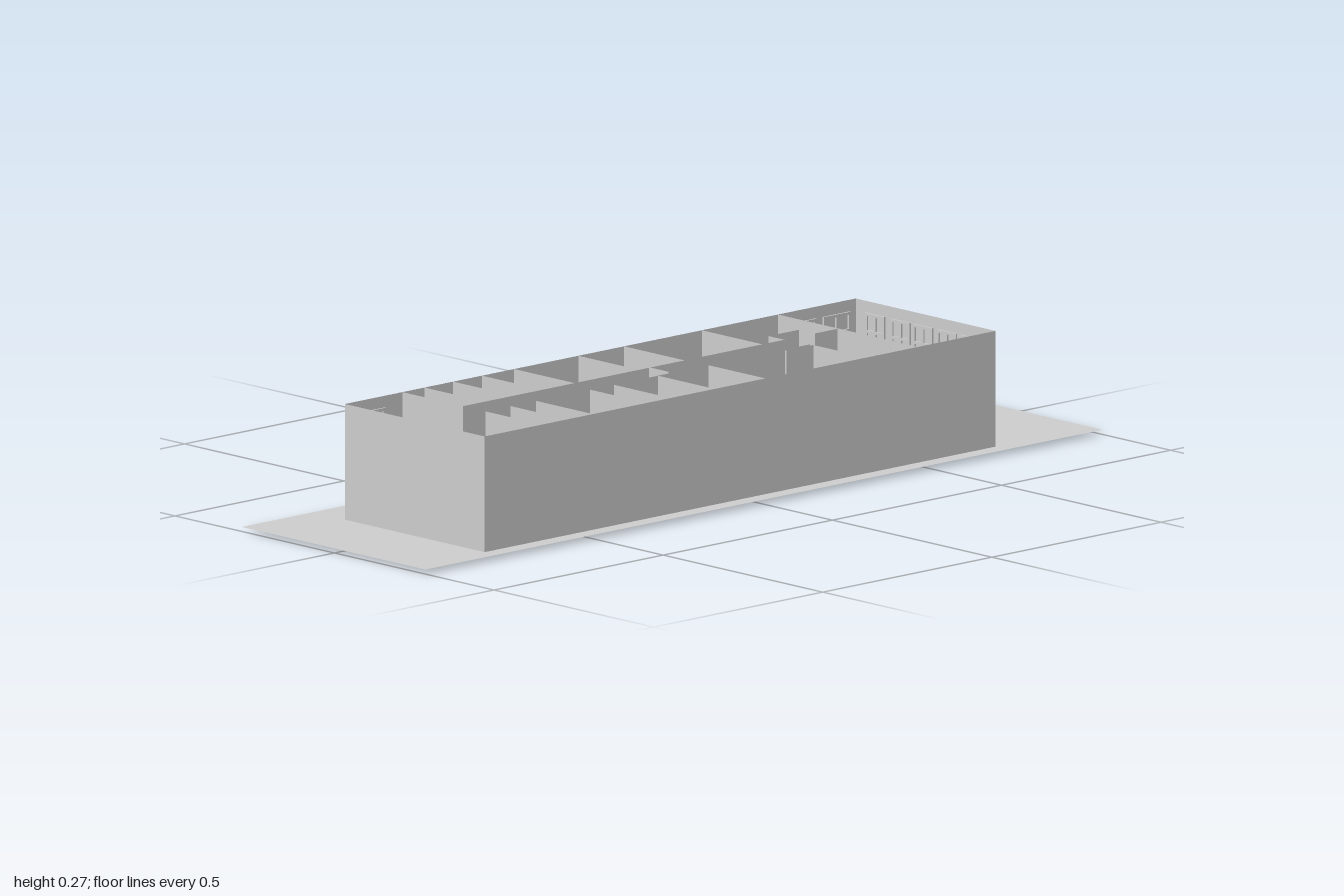
import * as THREE from 'three';

const FLOOR = 0.01, TOP = 0.265;

export function createModel() {
  const model = new THREE.Group();
  const mat = new THREE.MeshStandardMaterial({ color: 0xcccccc, flatShading: true, side: THREE.DoubleSide });

  // upright thin panel between two plan points
  function wall(name, x1, z1, x2, z2, y0 = FLOOR, y1 = TOP, parent = model) {
    const len = Math.hypot(x2 - x1, z2 - z1);
    const m = new THREE.Mesh(new THREE.PlaneGeometry(len, y1 - y0), mat);
    m.position.set((x1 + x2) / 2, (y0 + y1) / 2, (z1 + z2) / 2);
    m.rotation.y = -Math.atan2(z2 - z1, x2 - x1);
    m.name = name;
    parent.add(m);
  }

  // window frame with two panes across and a transom
  function windowFrame(cx, cz, width, alongZ) {
    const y0 = 0.11, y1 = 0.24, bar = 0.006, w = width / 2, mid = 0.2;
    const s = new THREE.Shape();
    s.moveTo(-w, y0); s.lineTo(w, y0); s.lineTo(w, y1); s.lineTo(-w, y1); s.closePath();
    for (const [a, b] of [[-w + bar, -bar / 2], [bar / 2, w - bar]]) {
      for (const [c, d] of [[y0 + bar, mid - bar / 2], [mid + bar / 2, y1 - bar]]) {
        const h = new THREE.Path();
        h.moveTo(a, c); h.lineTo(a, d); h.lineTo(b, d); h.lineTo(b, c); h.closePath();
        s.holes.push(h);
      }
    }
    const geo = new THREE.ExtrudeGeometry(s, { depth: 0.004, bevelEnabled: false });
    geo.translate(0, 0, -0.002);
    const m = new THREE.Mesh(geo, mat);
    m.position.set(cx, 0, cz);
    if (alongZ) m.rotation.y = Math.PI / 2;
    m.name = 'windowFrame';
    model.add(m);
  }

  // ground sheet
  const ground = new THREE.Mesh(new THREE.PlaneGeometry(2, 0.575), mat);
  ground.rotation.x = -Math.PI / 2;
  ground.position.set(0, FLOOR, -0.0025);
  ground.name = 'ground';
  model.add(ground);

  // outer walls, open at the top
  const L = -0.79, R = 0.72, B = -0.19, F = 0.248;
  wall('frontWall', L, F, R, F);
  wall('backWall', L, B, R, B);
  wall('rightEndWall', L, B, L, F);
  wall('leftEndWall', R, B, R, F);

  // corridor walls
  const cb = 0, cf = 0.07;
  wall('corridorBackWall', -0.62, cb, 0.33, cb);
  wall('corridorFrontWall', -0.62, cf, 0.34, cf);

  // room dividers on both sides of the corridor
  for (const x of [-0.62, -0.555, -0.47, -0.385, -0.29, -0.1, 0.035, 0.265]) wall('backPartition', x, B, x, cb);
  for (const x of [-0.62, -0.545, -0.47, -0.31, -0.24, -0.11, 0.04, 0.34]) wall('frontPartition', x, cf, x, F);
  wall('crossWall', 0.49, B, 0.49, F);

  // small closet at the end of the corridor
  wall('closetSide', 0.33, cb, 0.33, -0.05);
  wall('closetBack', 0.33, -0.05, 0.42, -0.05);
  wall('closetSide', 0.42, -0.05, 0.42, cb);
  wall('closetFront', 0.42, cb, 0.49, cb);

  // screens set slightly into the ground
  const screens = [
    [-0.47, 0.064, -0.32, 0.064], [-0.07, 0, -0.07, 0.06],
    [0.04, 0.076, 0.26, 0.076], [0.487, -0.003, 0.487, 0.11],
  ];
  for (const [x1, z1, x2, z2] of screens) wall('screen', x1, z1, x2, z2, 0, TOP + 0.001);
  // thick stub at the end of the long screen
  wall('stubWall', 0.26, 0.08, 0.34, 0.08);
  wall('stubEnd', 0.26, 0.07, 0.26, 0.08);

  // windows on the inner faces of the outer walls
  for (const x of [-0.73, -0.195, 0.095, 0.185, 0.385, 0.455]) windowFrame(x, F - 0.005, x < 0.3 ? 0.07 : 0.05, false);
  for (const [x, w] of [[-0.705, 0.06], [0.56, 0.08], [0.66, 0.08]]) windowFrame(x, B + 0.004, w, false);
  for (const z of [-0.115, 0.025, 0.15]) windowFrame(L + 0.004, z, 0.06, true);
  for (const z of [-0.125, -0.045, 0.025, 0.1, 0.17]) windowFrame(R - 0.004, z, 0.06, true);

  return model;
}
